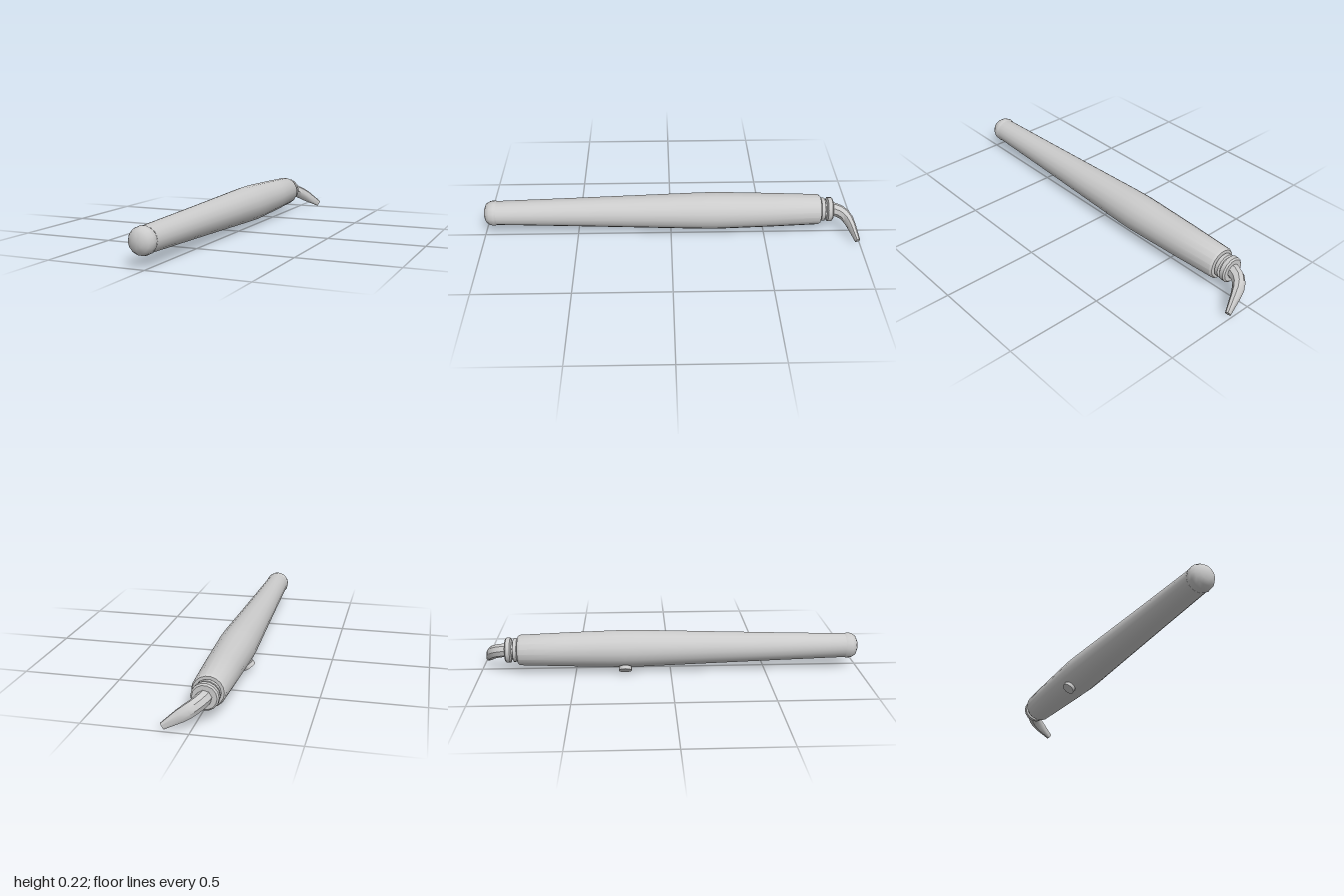
import * as THREE from 'three';
import { toCreasedNormals } from 'three/addons/utils/BufferGeometryUtils.js';

const AXIS = { x: -0.035, y: 0.119 };
const TILT = -0.55; // direction in which the bent tip points, seen from the front
const material = new THREE.MeshStandardMaterial({ color: 0xcccccc, roughness: 0.7 });

function addMesh(group, name, geometry, crease = 0.6) {
  const mesh = new THREE.Mesh(toCreasedNormals(geometry, crease), material);
  mesh.name = name;
  group.add(mesh);
  return mesh;
}

// Profile points are [radius, z], running from back to front
function turned(profile, sides) {
  const points = profile.map(([r, z]) => new THREE.Vector2(r, z));
  return new THREE.LatheGeometry(points, sides, Math.PI / sides).rotateX(Math.PI / 2);
}

// Rings are [u, z, heading, half width, half thickness], swept in the u-z plane
function bentTip(rings, sides) {
  const pos = [], index = [];
  for (const [u, z, heading, w, t] of rings) {
    for (let i = 0; i < sides; i++) {
      const a = ((i + 0.5) / sides) * Math.PI * 2;
      const across = Math.cos(a) * t;
      pos.push(u + across * Math.cos(heading), Math.sin(a) * w, z + across * Math.sin(heading));
    }
  }
  for (let r = 0; r < rings.length - 1; r++) {
    for (let i = 0; i < sides; i++) {
      const j = (i + 1) % sides, a = r * sides, b = a + sides;
      index.push(a + i, b + i, a + j, a + j, b + i, b + j);
    }
  }
  // flat end face
  const last = (rings.length - 1) * sides;
  for (let i = 1; i < sides - 1; i++) index.push(last, last + i + 1, last + i);
  const geometry = new THREE.BufferGeometry();
  geometry.setAttribute('position', new THREE.Float32BufferAttribute(pos, 3));
  geometry.setIndex(index);
  return geometry;
}

export function createModel() {
  const model = new THREE.Group();
  model.name = 'penTool';
  const body = new THREE.Group();
  body.name = 'body';
  body.position.set(AXIS.x, AXIS.y, 0);
  model.add(body);

  // Long tapered grip, widest behind the middle
  addMesh(body, 'handle', turned([
    [0, -0.8], [0.074, -0.8], [0.081, -0.79], [0.09, -0.55], [0.0965, -0.33],
    [0.099, -0.24], [0.0975, -0.15], [0.086, 0.2], [0.075, 0.55], [0.064, 0.93], [0, 0.93],
  ], 18));

  // Rounded cap at the front end
  addMesh(body, 'endCap', turned([
    [0, 0.925], [0.062, 0.925], [0.068, 0.942], [0.065, 0.965], [0.053, 0.985], [0.028, 0.996], [0, 1],
  ], 14), 0.7);

  // Stepped collar holding the tip
  addMesh(body, 'collar', turned([
    [0, -0.868], [0.058, -0.868], [0.066, -0.861], [0.066, -0.84], [0.05, -0.834],
    [0.05, -0.828], [0.062, -0.824], [0.062, -0.806], [0.05, -0.798], [0, -0.798],
  ], 14));

  // Bent tip, round at the collar and flattened at its end
  const tip = addMesh(body, 'bentTip', bentTip([
    [0, -0.855, 0, 0.036, 0.036],
    [0.002, -0.88, 0.15, 0.036, 0.036],
    [0.014, -0.908, 0.55, 0.036, 0.034],
    [0.035, -0.932, 0.9, 0.036, 0.031],
    [0.062, -0.949, 1.15, 0.036, 0.028],
    [0.1, -0.963, 1.25, 0.033, 0.023],
    [0.186, -0.987, 1.3, 0.017, 0.014],
  ], 8), 0.7);
  tip.rotation.z = TILT;

  // Round push button just under the grip
  const button = addMesh(model, 'button', new THREE.CylinderGeometry(0.034, 0.034, 0.02, 20));
  button.position.set(-0.1, 0.0295, -0.24);
  button.rotation.z = -0.63;

  return model;
}
